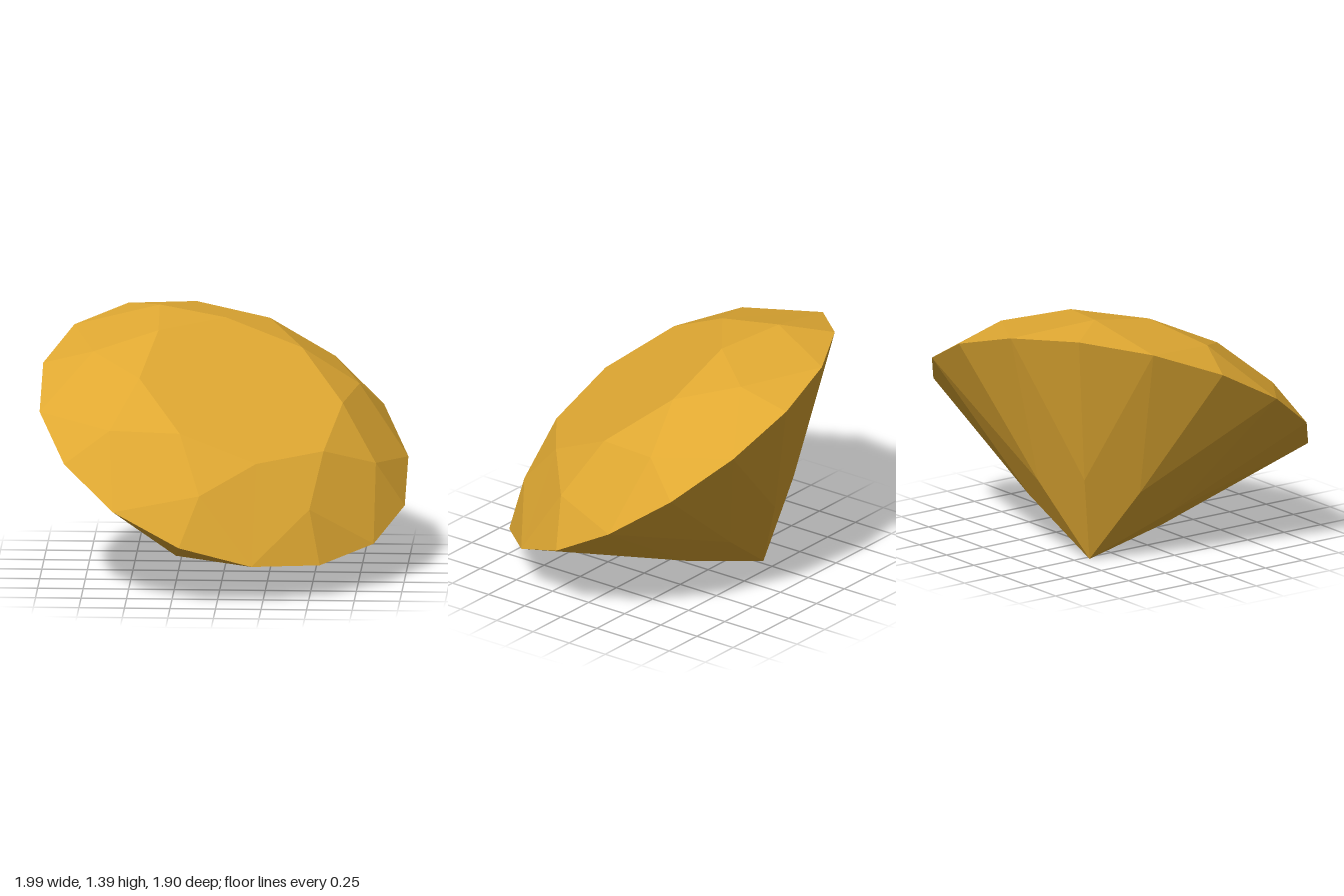
import * as THREE from 'three';

const STEP = Math.PI / 8; // sixteen divisions round the stone

// Point on a ring of the stone: radius r, height h above the girdle plane
const at = (r, h) => (k) =>
  new THREE.Vector3(r * Math.cos(k * STEP), h, r * Math.sin(k * STEP));

const table = at(0.588, 0.33);      // even steps
const star = at(0.833, 0.205);      // odd steps
const girdle = at(1.066, 0);        // all steps
const lower = at(0.41, -0.592);     // odd steps
const culet = at(0, -0.918);

// Flat-shaded mesh from convex facets, each turned to face away from the centre
function facetMesh(name, facets, material) {
  const points = [];
  for (const f of facets) {
    for (let i = 1; i < f.length - 1; i++) {
      const [a, b, c] = [f[0], f[i], f[i + 1]];
      const normal = b.clone().sub(a).cross(c.clone().sub(a));
      points.push(...(normal.dot(a) > 0 ? [a, b, c] : [a, c, b]));
    }
  }
  const geometry = new THREE.BufferGeometry().setFromPoints(points);
  geometry.computeVertexNormals();
  const mesh = new THREE.Mesh(geometry, material);
  mesh.name = name;
  return mesh;
}

export function createModel() {
  const amber = new THREE.MeshStandardMaterial({ color: 0xdfa832 });
  amber.name = 'amber';

  const tableFacet = [], stars = [], bezels = [], upperHalves = [], mains = [], lowerHalves = [];
  const rim = [];
  for (let k = 0; k < 16; k += 2) {
    rim.push(table(k));
    // Crown: star triangles, kite-shaped bezels, upper girdle triangles
    stars.push([table(k), star(k + 1), table(k + 2)]);
    bezels.push([table(k), star(k - 1), girdle(k), star(k + 1)]);
    upperHalves.push([star(k + 1), girdle(k), girdle(k + 1)]);
    upperHalves.push([star(k + 1), girdle(k + 1), girdle(k + 2)]);
    // Pavilion: long kites to the culet, lower girdle triangles
    mains.push([culet(0), lower(k - 1), girdle(k), lower(k + 1)]);
    lowerHalves.push([lower(k + 1), girdle(k), girdle(k + 1)]);
    lowerHalves.push([lower(k + 1), girdle(k + 1), girdle(k + 2)]);
  }
  tableFacet.push(rim);

  const gem = new THREE.Group();
  gem.name = 'gem';
  gem.add(
    facetMesh('table', tableFacet, amber),
    facetMesh('starFacets', stars, amber),
    facetMesh('bezelFacets', bezels, amber),
    facetMesh('upperGirdleFacets', upperHalves, amber),
    facetMesh('pavilionMainFacets', mains, amber),
    facetMesh('lowerGirdleFacets', lowerHalves, amber),
  );

  // Tilt the stone so that it balances on its culet
  const up = new THREE.Vector3(0.305, 0.837, 0.455).normalize();
  const side = new THREE.Vector3(-0.19, 0.5525, -0.8875).projectOnPlane(up).normalize();
  const basis = new THREE.Matrix4().makeBasis(side, up, side.clone().cross(up));
  gem.quaternion.setFromRotationMatrix(basis);
  gem.position.y = 0.768;

  const model = new THREE.Group();
  model.name = 'cutGem';
  model.add(gem);
  return model;
}
